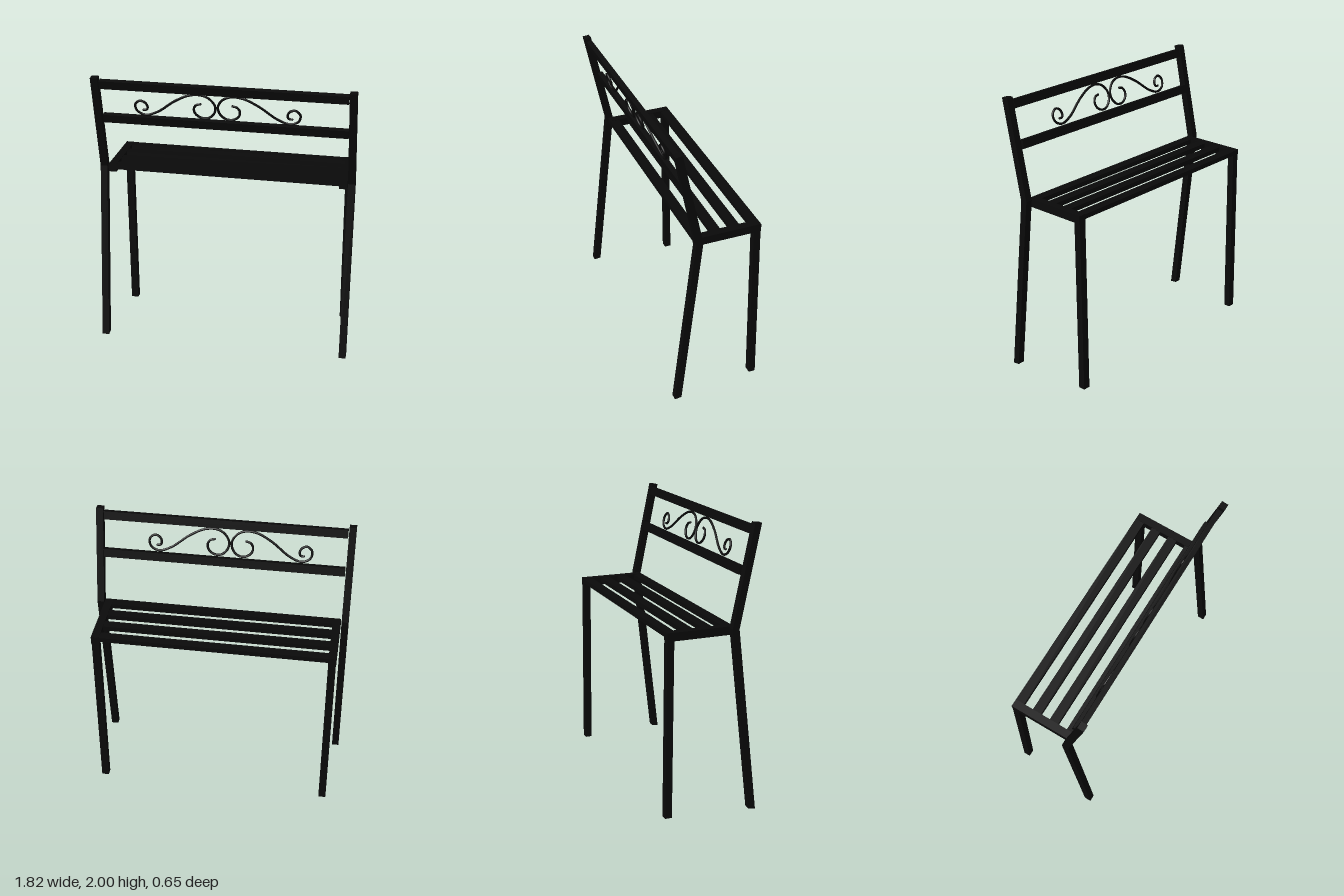
import * as THREE from 'three';

const material = new THREE.MeshStandardMaterial({ color: 0x0a0a0a });

function add(parent, name, geometry) {
  const mesh = new THREE.Mesh(geometry, material);
  mesh.name = name;
  parent.add(mesh);
  return mesh;
}

function bar(parent, name, size, position, tilt = 0) {
  const mesh = add(parent, name, new THREE.BoxGeometry(...size));
  mesh.position.set(...position);
  mesh.rotation.x = tilt;
  return mesh;
}

// Side profile given as [z, y] corners, extruded across x and centred on x
function sideProfile(parent, name, corners, x, width) {
  const shape = new THREE.Shape(corners.map(([z, y]) => new THREE.Vector2(z, y)));
  const geometry = new THREE.ExtrudeGeometry(shape, { depth: width, bevelEnabled: false });
  geometry.translate(0, 0, -width / 2).rotateY(-Math.PI / 2);
  add(parent, name, geometry).position.x = x;
}

const LEAN = Math.atan2(0.146, 0.69);
const backZ = (y) => 0.213 + (y - 1.68) * 0.272;

export function createModel() {
  const bench = new THREE.Group();
  bench.name = 'bench';

  for (const [side, s] of [['left', 1], ['right', -1]]) {
    const frame = new THREE.Group();
    frame.name = side + 'Frame';
    bench.add(frame);

    // Rear leg and back post in one bent bar
    sideProfile(frame, 'backPost', [
      [0.274, 0.006], [0.323, 0], [0.178, 1.3], [0.324, 1.995], [0.276, 2], [0.128, 1.305],
    ], s * 0.887, 0.05);

    // Front leg, slightly splayed, with square-cut foot
    sideProfile(frame, 'frontLeg', [
      [-0.323, 0.01], [-0.275, 0.01], [-0.261, 1.26], [-0.31, 1.26],
    ], s * 0.828, 0.052);

    bar(frame, 'seatSideRail', [0.056, 0.058, 0.47], [s * 0.829, 1.281, -0.075]);
  }

  // Seat slats
  for (let i = 0; i < 4; i++) {
    bar(bench, 'seatSlat', [1.714, 0.033, 0.068], [0, 1.291, -0.278 + i * 0.137]);
  }

  // Leaning back rails
  for (const [name, y] of [['lowerBackRail', 1.68], ['upperBackRail', 1.946]]) {
    bar(bench, name, [1.714, 0.06, 0.037], [0, y, backZ(y)], LEAN);
  }

  // Mirrored scrolls: offsets from the scroll centre line, and heights
  const path = [
    [0.518, 1.763], [0.496, 1.765], [0.487, 1.787], [0.503, 1.82], [0.54, 1.832],
    [0.574, 1.801], [0.563, 1.75], [0.505, 1.724], [0.42, 1.753], [0.29, 1.847],
    [0.19, 1.897], [0.112, 1.906], [0.05, 1.883], [0.01, 1.825], [0.019, 1.77],
    [0.06, 1.731], [0.112, 1.729], [0.152, 1.759], [0.16, 1.797], [0.142, 1.826], [0.112, 1.835],
  ];
  for (const [name, s] of [['leftScroll', 1], ['rightScroll', -1]]) {
    const points = path.map(([x, y]) => new THREE.Vector3(-0.045 + s * x, y, backZ(y)));
    const curve = new THREE.CatmullRomCurve3(points);
    const scroll = new THREE.Group();
    scroll.name = name;
    bench.add(scroll);
    add(scroll, 'scrollRod', new THREE.TubeGeometry(curve, 140, 0.0085, 8));
    for (const end of [points[0], points[points.length - 1]]) {
      add(scroll, 'scrollTip', new THREE.SphereGeometry(0.0085, 8, 6)).position.copy(end);
    }
  }

  return bench;
}
